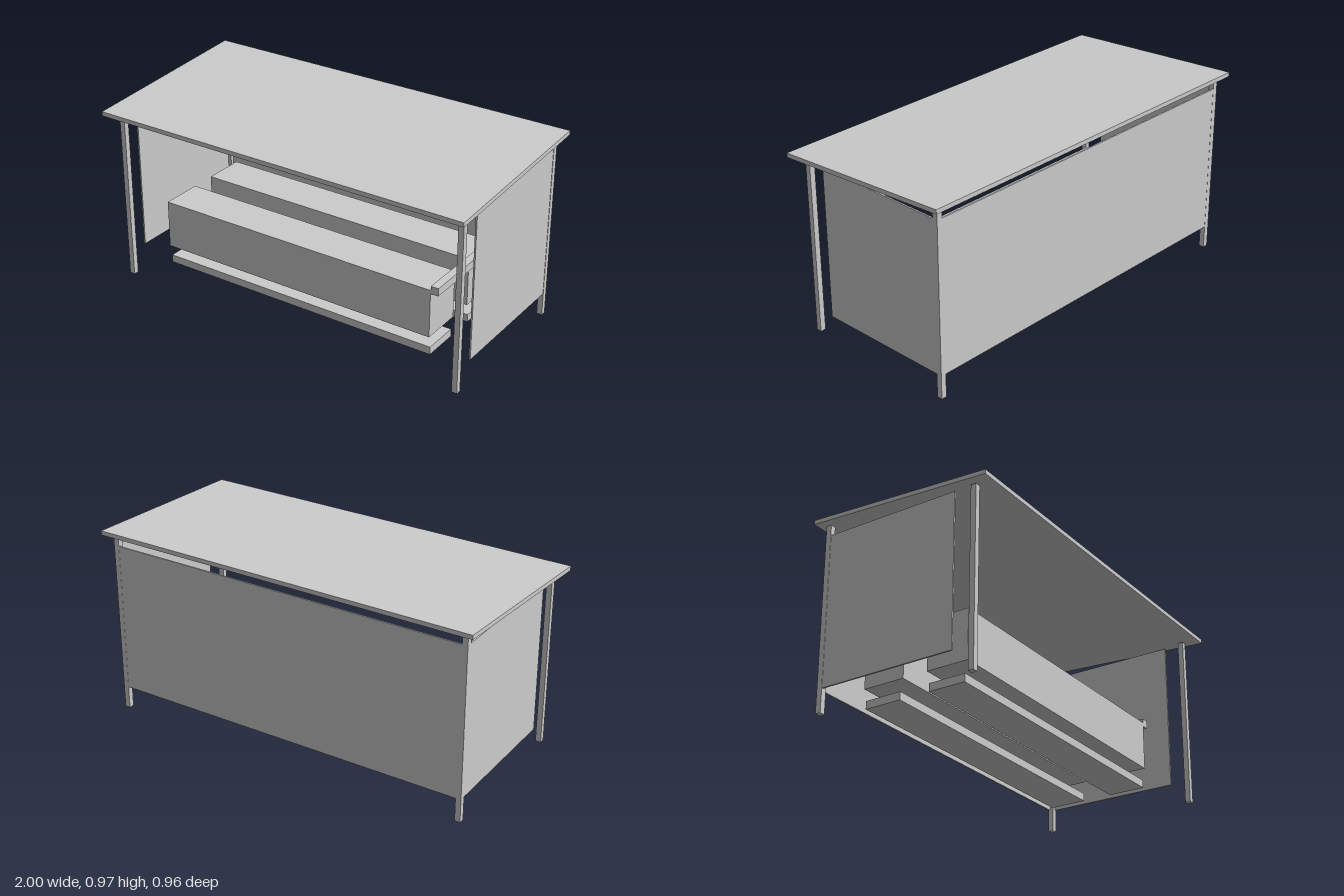
import * as THREE from 'three';

export function createModel() {
  const model = new THREE.Group();
  model.name = 'benchShelter';
  const grey = new THREE.MeshStandardMaterial({ color: 0xcccccc });
  grey.name = 'light grey';

  // Box given by its limits along each axis
  function box(name, [x0, x1], [y0, y1], [z0, z1]) {
    const geometry = new THREE.BoxGeometry(x1 - x0, y1 - y0, z1 - z0);
    const mesh = new THREE.Mesh(geometry, grey);
    mesh.name = name;
    mesh.position.set((x0 + x1) / 2, (y0 + y1) / 2, (z0 + z1) / 2);
    model.add(mesh);
    return mesh;
  }

  // Sloping roof, higher at the back
  const roof = box('roof', [-1, 1], [0.917, 0.939], [-0.48, 0.48]);
  const pos = roof.geometry.attributes.position;
  for (let i = 0; i < pos.count; i++) pos.setY(i, pos.getY(i) - pos.getZ(i) * 0.0594);
  roof.geometry.computeVertexNormals();

  // Posts and side walls, mirrored
  for (const [side, s] of [['left', 1], ['right', -1]]) {
    const span = (a, b) => (s > 0 ? [a, b] : [-b, -a]);
    box(side + 'FrontPost', span(0.931, 0.959), [0, 0.888], [0.375, 0.403]);
    box(side + 'BackPost', span(0.931, 0.959), [0, 0.942], [-0.44, -0.412]);
    box(side + 'Wall', span(0.949, 0.957), [0.118, 0.887], [-0.412, 0.288]);
  }
  box('backWall', [-0.931, 0.931], [0.118, 0.887], [-0.439, -0.431]);

  // Two bench boxes, each with a plank beneath
  for (const [name, z] of [['front', 0.155], ['back', -0.19]]) {
    box(name + 'Bench', [-0.805, 0.725], [0.14, 0.388], [z - 0.108, z + 0.108]);
    box(name + 'Plank', [-0.805, 0.725], [0.04, 0.08], [z - 0.095, z + 0.095]);
  }

  // Rail across the bench ends
  box('endRail', [0.725, 0.765], [0.37, 0.41], [-0.298, 0.262]);

  return model;
}
